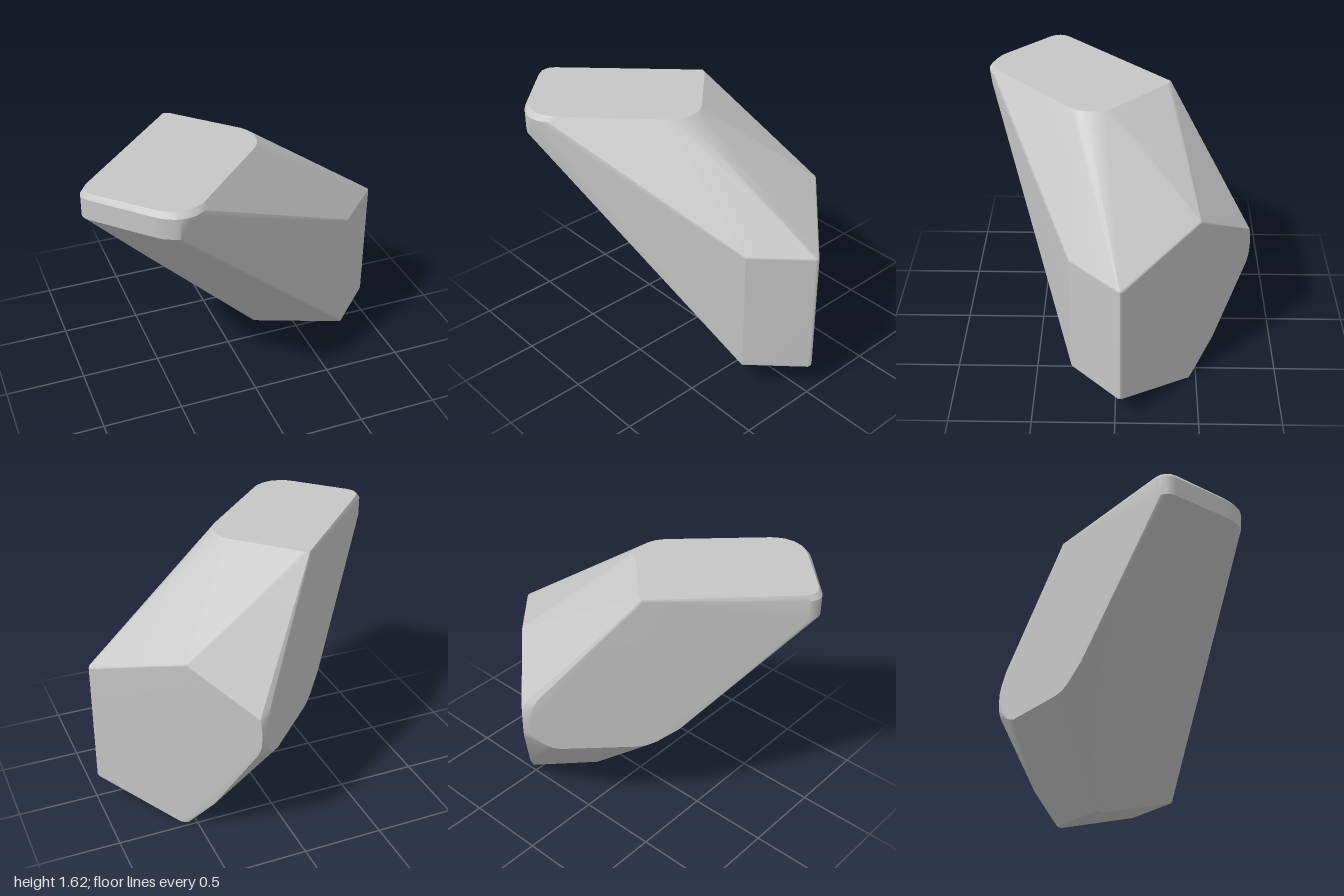
import * as THREE from 'three';
import { ConvexGeometry } from 'three/addons/geometries/ConvexGeometry.js';

const v = (x, y, z) => new THREE.Vector3(x, y, z);

// Rounded corner where three planes meet: points of a small ball touching all three
function softCorner(corner, normals, r = 0.022) {
  const [a, b, c] = normals.map((n) => n.clone().normalize());
  const inset = v(r, r, r).applyMatrix3(
    new THREE.Matrix3(a.x, a.y, a.z, b.x, b.y, b.z, c.x, c.y, c.z).invert());
  const centre = corner.clone().sub(inset);
  const mid = (p, q) => p.clone().add(q).normalize();
  return [a, b, c, mid(a, b), mid(b, c), mid(c, a)].map((n) => centre.clone().addScaledVector(n, r));
}

// Area-weighted smooth normals, with edges sharper than the crease angle kept hard
function creaseByArea(geometry, crease) {
  const pos = geometry.attributes.position;
  const faces = [], corners = [], around = new Map();
  for (let i = 0; i < pos.count; i += 3) {
    const [a, b, c] = [0, 1, 2].map((k) => new THREE.Vector3().fromBufferAttribute(pos, i + k));
    const cross = b.clone().sub(a).cross(c.clone().sub(a));
    const face = { cross, unit: cross.clone().normalize() };
    faces.push(face);
    for (const p of [a, b, c]) {
      const key = p.toArray().map((n) => Math.round(n * 1e4)).join();
      if (!around.has(key)) around.set(key, []);
      around.get(key).push(face);
      corners.push(key);
    }
  }
  corners.forEach((key, i) => {
    const own = faces[Math.floor(i / 3)], n = v(0, 0, 0);
    for (const f of around.get(key)) if (f.unit.dot(own.unit) > Math.cos(crease)) n.add(f.cross);
    n.normalize();
    geometry.attributes.normal.setXYZ(i, n.x, n.y, n.z);
  });
  return geometry;
}

export function createModel() {
  const model = new THREE.Group();
  const stone = new THREE.MeshStandardMaterial({ color: 0xc6c6c6 });
  stone.name = 'stone grey';

  // Points on the two large upright cut planes of the rock
  const onBack = (x, y) => v(x, y, -0.63 - x);
  const onSide = (x, y) => v(x, y, x - 1.03);

  // Flat top with rounded corners
  const top = [
    [-0.30, -0.32], [-0.26, -0.30], [0.07, 0.03], [0.095, 0.07], [0.107, 0.11], [0.11, 0.15],
    [0.105, 0.19], [0.09, 0.235], [0.06, 0.28], [-0.40, 0.73], [-0.43, 0.755], [-0.48, 0.78],
    [-0.54, 0.79], [-0.60, 0.78], [-0.65, 0.755], [-0.69, 0.72],
    [-0.95, 0.46], [-0.97, 0.43], [-0.975, 0.40], [-0.97, 0.37], [-0.95, 0.34],
  ].map(([x, z]) => v(x, 1.62, z));

  // Short upright wall under the front of the top, rounded in plan
  const wall = [];
  for (const [x, z] of [[-0.975, 0.345], [-0.994, 0.372], [-1, 0.40], [-0.994, 0.432],
    [-0.975, 0.46], [-0.71, 0.735], [-0.66, 0.78], [-0.60, 0.812], [-0.57, 0.819]]) {
    wall.push(v(x, 1.465, z), v(x, 1.59, z));
  }
  wall.push(v(-0.54, 1.59, 0.823), v(-0.48, 1.59, 0.813), v(-0.42, 1.59, 0.778));

  // Large upright back face with a rounded lower end
  const back = [
    [-0.31, 1.605], [0.13, 0.94], [0.155, 0.88], [0.17, 0.82], [0.175, 0.77], [0.17, 0.71],
    [0.15, 0.65], [0.11, 0.595], [0.08, 0.573], [0.047, 0.56],
    [-0.283, 0.56], [-0.33, 0.57], [-0.37, 0.595], [-0.468, 0.69],
  ].map(([x, y]) => onBack(x, y));

  // Large upright side face
  const side = [
    [0.58, 0.02], [0.56, 0.02], [0.425, 0.2], [0.225, 0.64],
    [0.213, 0.69], [0.21, 0.75], [0.212, 0.82], [0.22, 0.88],
  ].map(([x, y]) => onSide(x, y));

  // Softened corners of the narrow upright front face and of the shoulder
  const nFront = v(1, 0, 1), nSide = v(1, 0, -1), nLeft = v(0.39, 0, 0.92);
  const nSlope = v(0.57, 0.58, 0.57), nUnder = v(0.21, -0.955, 0.21);
  const corners = [
    ...softCorner(v(0.70, 0.975, 0.27), [nFront, nLeft, nSlope]),
    ...softCorner(v(1, 0.975, -0.03), [nFront, nSide, nSlope]),
    ...softCorner(v(0.70, 0.175, 0.27), [nFront, nLeft, nUnder]),
    ...softCorner(v(1, 0.175, -0.03), [nFront, nSide, nUnder]),
    ...softCorner(v(0.54, 1.14, -0.49), [nSide, v(0.54, 0.81, -0.24), v(0.22, 0.65, -0.73)]),
  ];

  // Low ridge the rock stands on
  const keel = [v(0.25, 0, -0.16), v(0.29, 0, -0.14), v(0.55, 0, -0.475), v(0.59, 0, -0.455)];

  const hull = new ConvexGeometry([...top, ...wall, ...back, ...side, ...corners, ...keel]);
  const rock = new THREE.Mesh(creaseByArea(hull, 0.45), stone);
  rock.name = 'rock';
  model.add(rock);
  return model;
}
